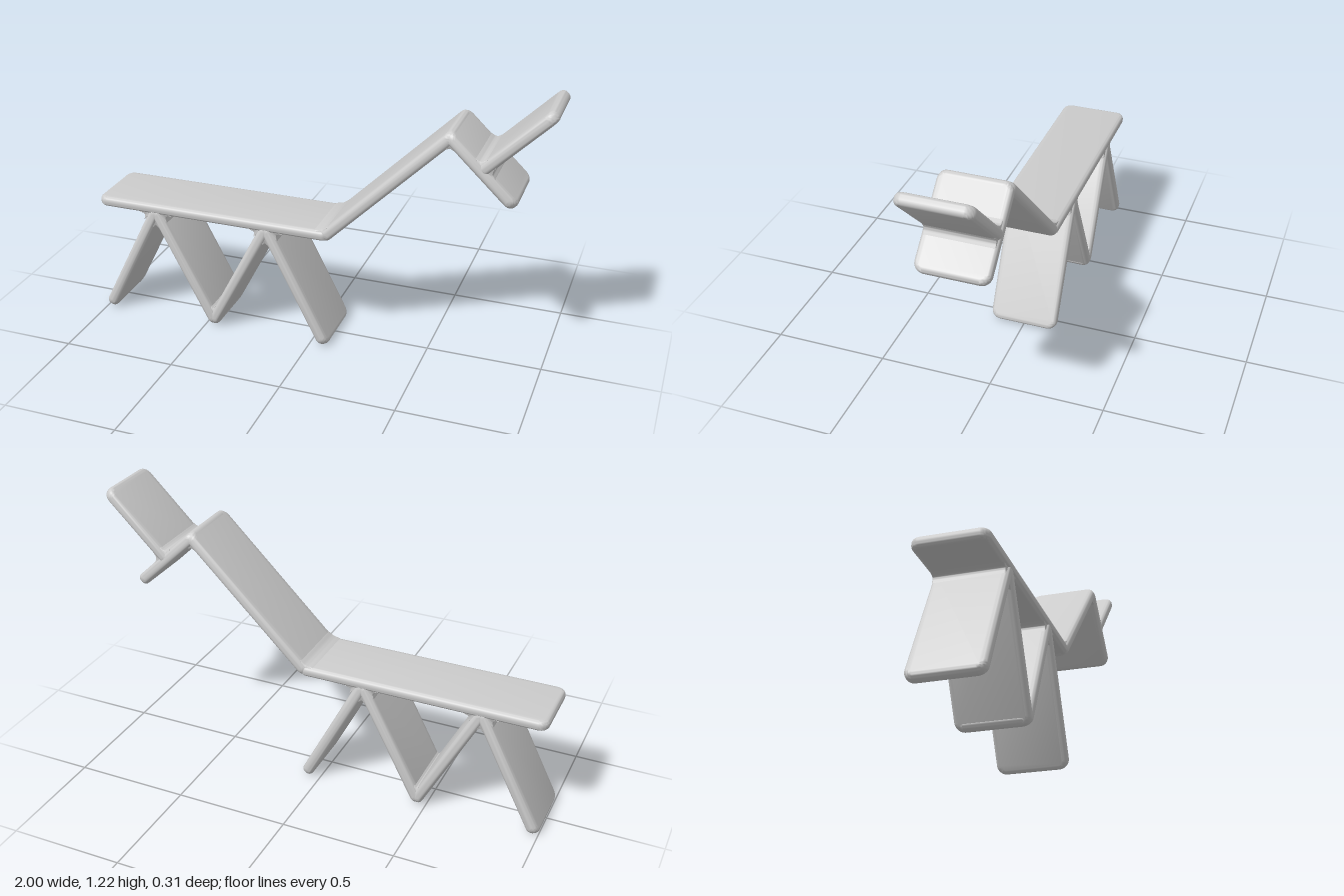
import * as THREE from 'three';
import { toCreasedNormals } from 'three/addons/utils/BufferGeometryUtils.js';

const HALF = 0.025;   // half thickness of every board
const WIDTH = 0.306;  // board width along z

// Board with softened edges running between two points in the xy plane
function boardGeometry([x1, y1], [x2, y2], half) {
  const bevel = half * 0.8, r = 0.022;
  const length = Math.hypot(x2 - x1, y2 - y1) + 2 * half;
  const a = length / 2 - bevel, b = WIDTH / 2 - bevel;
  const s = new THREE.Shape();
  s.moveTo(-a + r, -b).lineTo(a - r, -b);
  s.absarc(a - r, -b + r, r, -Math.PI / 2, 0);
  s.absarc(a - r, b - r, r, 0, Math.PI / 2);
  s.absarc(-a + r, b - r, r, Math.PI / 2, Math.PI);
  s.absarc(-a + r, -b + r, r, Math.PI, Math.PI * 1.5);
  const g = new THREE.ExtrudeGeometry(s, {
    depth: 2 * (half - bevel), bevelSize: bevel, bevelThickness: bevel,
    bevelSegments: 5, curveSegments: 5,
  });
  g.center();
  g.rotateX(-Math.PI / 2);
  g.rotateZ(Math.atan2(y2 - y1, x2 - x1));
  g.translate((x1 + x2) / 2, (y1 + y2) / 2, 0);
  return toCreasedNormals(g, 0.7);
}

// Concave web filling the inner corner between two boards that meet at c
function filletGeometry(c, p, q, size) {
  const C = new THREE.Vector2(...c);
  const u = new THREE.Vector2(...p).sub(C).normalize();
  const v = new THREE.Vector2(...q).sub(C).normalize();
  const inner = C.clone().addScaledVector(u.clone().add(v), HALF * 0.9 / Math.abs(u.cross(v)));
  const a = inner.clone().addScaledVector(u, size);
  const b = inner.clone().addScaledVector(v, size);
  const s = new THREE.Shape();
  s.moveTo(C.x, C.y).lineTo(a.x, a.y);
  s.quadraticCurveTo(inner.x, inner.y, b.x, b.y);
  s.lineTo(C.x, C.y);
  const g = new THREE.ExtrudeGeometry(s, {
    depth: 0.278, bevelSize: 0.004, bevelThickness: 0.006, bevelSegments: 2, curveSegments: 8,
  });
  g.translate(0, 0, -0.139);
  return toCreasedNormals(g, 0.7);
}

export function createModel() {
  const group = new THREE.Group();
  const grey = new THREE.MeshStandardMaterial({ color: 0xcccccc });
  grey.name = 'lightGrey';
  const add = (name, geometry) => {
    const mesh = new THREE.Mesh(geometry, grey);
    mesh.name = name;
    group.add(mesh);
  };

  // Joints along the side profile
  const tail = [-0.975, 0.543], chest = [0.07, 0.543];
  const brow = [0.588, 1.058], chin = [0.842, 0.816];
  const hornBase = [0.719, 0.935], hornTip = [0.975, 1.19];
  const rearFoot = [-0.975, 0.027], rearHip = [-0.722, 0.53];
  const middleFoot = [-0.46, 0.03];
  const frontHip = [-0.2, 0.53], frontFoot = [0.058, 0.027];

  // Boards: body, neck, head and zigzag legs
  const boards = [
    ['body', tail, chest, 0.023],
    ['neck', chest, brow],
    ['head', brow, chin],
    ['horn', hornBase, hornTip],
    ['rearLeg', rearFoot, rearHip],
    ['middleRearLeg', rearHip, middleFoot],
    ['middleFrontLeg', middleFoot, frontHip],
    ['frontLeg', frontHip, frontFoot],
  ];
  for (const [name, p, q, half = HALF] of boards) add(name, boardGeometry(p, q, half));

  // Soft webs where boards meet
  const webs = [
    ['rearHipWeb', rearHip, rearFoot, middleFoot, 0.03],
    ['frontHipWeb', frontHip, middleFoot, frontFoot, 0.03],
    ['middleFootWeb', middleFoot, rearHip, frontHip, 0.02],
    ['browWeb', brow, chest, chin, 0.02],
    ['chestWeb', chest, tail, brow, 0.03],
    ['hornUpperWeb', hornBase, hornTip, brow, 0.03],
    ['hornLowerWeb', hornBase, hornTip, chin, 0.03],
  ];
  for (const hip of [rearHip, frontHip]) {
    const top = [hip[0], 0.543];
    webs.push(['hipBackWeb', top, [hip[0] - 1, 0.543], [hip[0] - 0.255, 0.03], 0.035]);
    webs.push(['hipFrontWeb', top, [hip[0] + 1, 0.543], [hip[0] + 0.26, 0.03], 0.035]);
  }
  for (const [name, c, p, q, size] of webs) add(name, filletGeometry(c, p, q, size));

  return group;
}
